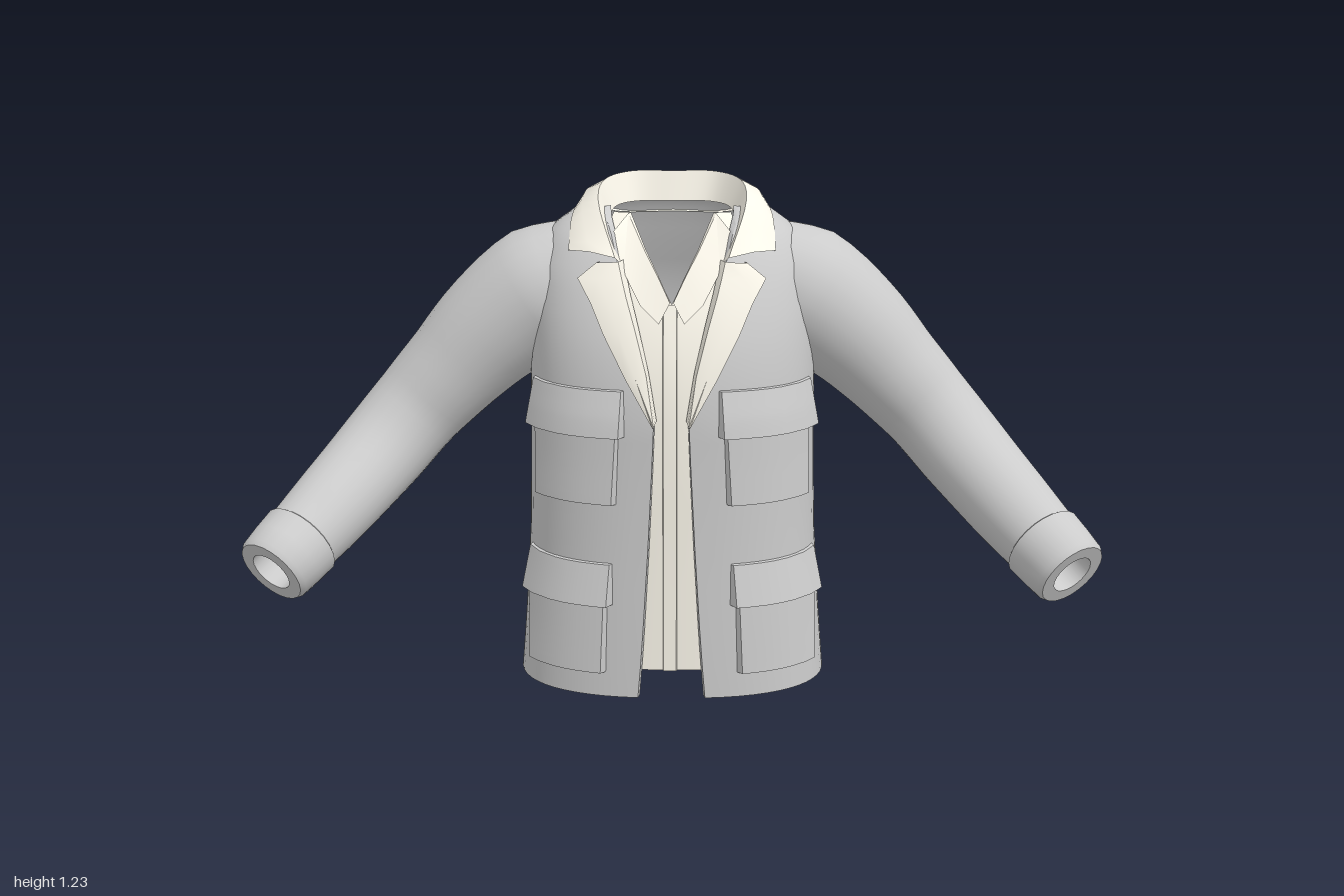
import * as THREE from 'three';
import { toCreasedNormals } from 'three/addons/utils/BufferGeometryUtils.js';

const grey = new THREE.MeshStandardMaterial({ color: 0xcccccc, side: THREE.DoubleSide });
const cream = new THREE.MeshStandardMaterial({ color: 0xfaf6ea, side: THREE.DoubleSide });
const V = (x, y, z) => new THREE.Vector3(x, y, z);
const POWER = 2.5; // squareness of the torso section

// Torso sections: height, half width, front z, back z, half width of the front opening
const TORSO = [
  [0.015, 0.375, 0.19, -0.355, 0.08], [0.2, 0.36, 0.193, -0.35, 0.067],
  [0.4, 0.347, 0.195, -0.346, 0.055], [0.6, 0.342, 0.2, -0.345, 0.045],
  [0.72, 0.34, 0.205, -0.342, 0.04], [0.85, 0.338, 0.19, -0.335, 0.07],
  [0.95, 0.335, 0.158, -0.315, 0.092], [1.05, 0.32, 0.108, -0.275, 0.122],
  [1.12, 0.285, 0.06, -0.25, 0.14], [1.155, 0.235, 0.02, -0.235, 0.155],
  [1.172, 0.195, 0.0, -0.222, 0.16],
];

function section(y) {
  let i = 0;
  while (i < TORSO.length - 2 && y > TORSO[i + 1][0]) i++;
  const a = TORSO[i], b = TORSO[i + 1];
  const k = THREE.MathUtils.clamp((y - a[0]) / (b[0] - a[0]), 0, 1);
  return a.map((v, j) => v + (b[j] - v) * k);
}

// Point on the torso at angle t (0 = left side, PI/2 = front), pushed out by off
function torsoPoint(t, y, off = 0) {
  const [, w, zf, zb] = section(y);
  const f = (v) => Math.sign(v) * Math.abs(v) ** (2 / POWER);
  return V((w + off) * f(Math.cos(t)), y, (zf + zb) / 2 + ((zf - zb) / 2 + off) * f(Math.sin(t)));
}

const frontAngle = (x, y) => Math.acos(Math.min(1, x / section(y)[1]) ** (POWER / 2));

// Point on the front of the torso above a given x
function frontPoint(x, y, off) {
  const p = torsoPoint(frontAngle(Math.abs(x), y), y, off);
  if (x < 0) p.x *= -1;
  return p;
}

// Skin over rows of points
function loft(name, rows, material, closed = false, crease = 0.8) {
  const n = rows[0].length, index = [];
  for (let r = 0; r < rows.length - 1; r++) {
    for (let c = 0; c < (closed ? n : n - 1); c++) {
      const a = r * n + c, b = r * n + ((c + 1) % n);
      index.push(a, b, a + n, b, b + n, a + n);
    }
  }
  const g = new THREE.BufferGeometry().setFromPoints(rows.flat());
  g.setIndex(index);
  const mesh = new THREE.Mesh(toCreasedNormals(g, crease), material);
  mesh.name = name;
  return mesh;
}

// Jacket body: one sheet from front edge to front edge, with a turned-in hem
function body() {
  const row = (y, off) => {
    const t0 = frontAngle(section(y)[4], y), pts = [], n = 56;
    for (let i = -1; i <= n + 1; i++) {
      const k = THREE.MathUtils.clamp(i / n, 0, 1);
      const t = t0 - k * (Math.PI + 2 * t0);
      const p = torsoPoint(t, y, i < 0 || i > n ? -0.02 : off);
      if (y < 0.1) p.y += 0.013 * Math.sin(t) + 0.006 * Math.cos(t) ** 2;
      pts.push(p);
    }
    return pts;
  };
  const rows = [row(0.16, -0.022), row(0.015, -0.018)];
  for (let i = 0; i < TORSO.length - 1; i++) {
    for (let k = 0; k < 2; k++) rows.push(row(THREE.MathUtils.lerp(TORSO[i][0], TORSO[i + 1][0], k / 2), 0));
  }
  rows.push(row(1.172, 0));
  return loft('jacketBody', rows, grey);
}

// Raised patch on the jacket front, used for pockets and flaps
function pad(name, s, x0, x1, y0, y1, offTop, offBottom, taper = 0) {
  const ease = [0, 0.02, 0.15, 0.35, 0.5, 0.65, 0.85, 0.98, 1];
  const rows = ease.map((v, r) => ease.map((u, c) => {
    const edge = r === 0 || c === 0 || r === 8 || c === 8;
    const x = THREE.MathUtils.lerp(x0 + taper * v, x1 - taper * v, u);
    const off = edge ? -0.004 : THREE.MathUtils.lerp(offTop, offBottom, v);
    return frontPoint(s * x, THREE.MathUtils.lerp(y1, y0, v), off);
  }));
  return loft(name, rows, grey, false, 0.6);
}

// Sleeve with a banded, thick-rimmed cuff
function sleeve(s) {
  const path = [ // x, y, z, radius
    [0.18, 1.01, -0.1, 0.13], [0.31, 0.96, -0.1, 0.16], [0.43, 0.87, -0.095, 0.143],
    [0.53, 0.77, -0.085, 0.124], [0.62, 0.675, -0.068, 0.113], [0.7, 0.585, -0.015, 0.11],
    [0.805, 0.48, 0.125, 0.1], [0.917, 0.377, 0.285, 0.083],
  ];
  const curve = new THREE.CatmullRomCurve3(path.map((p) => V(p[0], p[1], p[2])));
  const ring = (u, extra = 0, scale = 1) => {
    const f = u * (path.length - 1), i = Math.min(Math.floor(f), path.length - 2);
    const r = THREE.MathUtils.lerp(path[i][3], path[i + 1][3], f - i) * scale + extra;
    const c = curve.getPoint(u), T = curve.getTangent(u);
    const N = V(0, 0, 1).addScaledVector(T, -T.z).normalize(), B = T.clone().cross(N);
    return Array.from({ length: 24 }, (_, k) => {
      const a = (k / 24) * Math.PI * 2;
      const p = c.clone().addScaledVector(N, r * Math.cos(a)).addScaledVector(B, r * Math.sin(a));
      p.x *= s;
      return p;
    });
  };
  const g = new THREE.Group();
  g.name = s > 0 ? 'leftSleeve' : 'rightSleeve';
  const rows = Array.from({ length: 29 }, (_, i) => ring((i / 28) * 0.98));
  g.add(loft('sleeve', rows, grey, true));
  g.add(loft('cuff', [ring(0.925, -0.004), ring(0.93, 0.007), ring(0.965, 0.008), ring(0.992, 0.007),
    ring(1, 0.001), ring(1, 0, 0.62), ring(0.96, 0, 0.58), ring(0.85, 0, 0.6)], grey, true, 0.6));
  return g;
}

// Lapel: thin folded strip tapering down to the first button
function lapel(s) {
  const rows = [ // inner x, y, outer x, y
    [0.036, 0.71, 0.041, 0.7], [0.055, 0.82, 0.1, 0.81], [0.08, 0.92, 0.15, 0.91],
    [0.1, 0.99, 0.178, 0.975], [0.11, 1.03, 0.208, 1.027], [0.118, 1.065, 0.166, 1.062],
  ].map(([xi, yi, xo, yo]) => [
    frontPoint(s * xi, yi, -0.02), frontPoint(s * xi, yi, 0.012),
    frontPoint((s * (xi + xo)) / 2, (yi + yo) / 2, 0.018),
    frontPoint(s * xo, yo, 0.013), frontPoint(s * xo, yo, -0.003),
  ]);
  return loft(s > 0 ? 'leftLapel' : 'rightLapel', rows, cream, false, 0.6);
}

// Turned-down collar around the back of the neck
function collar() {
  const half = [ // back to front: outer edge, fold, inner edge
    [V(0, 1.135, -0.25), V(0, 1.235, -0.187), V(0, 1.165, -0.168)],
    [V(0.13, 1.135, -0.24), V(0.1, 1.235, -0.18), V(0.09, 1.165, -0.16)],
    [V(0.215, 1.162, -0.15), V(0.16, 1.225, -0.11), V(0.137, 1.16, -0.1)],
    [V(0.235, 1.15, -0.03), V(0.172, 1.188, -0.01), V(0.143, 1.13, -0.005)],
    [V(0.24, 1.082, 0.046), V(0.13, 1.075, 0.108), V(0.115, 1.055, 0.085)],
  ].map(([o, t, i]) => {
    const mid = o.clone().lerp(t, 0.55);
    mid.add(V(mid.x * 0.05, 0.008, mid.z > 0 ? 0.012 : -0.01));
    const under = o.clone().add(V(-o.x * 0.04, -0.006, o.z > 0 ? -0.016 : 0.012));
    return [under, o, mid, t, i];
  });
  const flip = (row) => row.map((p) => V(-p.x, p.y, p.z));
  const all = [...half.slice(1).reverse().map(flip), ...half];
  const curves = half[0].map((_, c) => new THREE.CatmullRomCurve3(all.map((r) => r[c])));
  const rows = Array.from({ length: 41 }, (_, i) => curves.map((c) => c.getPoint(i / 40)));
  return loft('collar', rows, cream);
}

// Shirt front behind the opening, with a V neck
function shirt() {
  const g = new THREE.Group();
  g.name = 'shirt';
  const levels = [0.09, 0.3, 0.5, 0.7, 0.85, 0.97, 1.02, 1.08, 1.13, 1.16];
  for (const s of [1, -1]) {
    const rows = levels.map((y) => {
      const x0 = Math.max(0, (y - 0.97) * 0.58);
      const x1 = y < 0.9 ? 0.27 : THREE.MathUtils.mapLinear(y, 0.9, 1.16, 0.25, 0.155);
      return Array.from({ length: 9 }, (_, i) => frontPoint(s * THREE.MathUtils.lerp(x0, x1, i / 8), y, -0.026));
    });
    g.add(loft(s > 0 ? 'leftShirtFront' : 'rightShirtFront', rows, cream));
    // Shirt collar leaf beside the V
    const leaf = [[0.004, 0.975, 0.03, 0.93], [0.03, 1.025, 0.075, 0.97], [0.065, 1.085, 0.115, 1.04], [0.108, 1.16, 0.145, 1.12]]
      .map(([xi, yi, xo, yo]) => [frontPoint(s * xi, yi, -0.024), frontPoint(s * xi, yi, -0.012), frontPoint(s * xo, yo, -0.012)]);
    g.add(loft('shirtCollar', leaf, cream));
  }
  const placket = levels.slice(0, 6).map((y) => [
    frontPoint(-0.022, y, -0.026), frontPoint(-0.02, y, -0.019), frontPoint(0.012, y, -0.019), frontPoint(0.014, y, -0.026)]);
  g.add(loft('placket', placket, cream, false, 0.4));
  return g;
}

export function createModel() {
  const model = new THREE.Group();
  model.name = 'jacket';
  model.add(body(), collar(), shirt());
  for (const s of [1, -1]) {
    model.add(sleeve(s), lapel(s));
    const pockets = new THREE.Group();
    pockets.name = s > 0 ? 'leftPockets' : 'rightPockets';
    pockets.add(
      pad('chestPocket', s, 0.12, 0.315, 0.51, 0.7, 0.012, 0.022, 0.008),
      pad('chestFlap', s, 0.108, 0.322, 0.675, 0.785, 0.008, 0.03),
      pad('hipPocket', s, 0.15, 0.335, 0.09, 0.29, 0.014, 0.022, 0.006),
      pad('hipFlap', s, 0.138, 0.338, 0.262, 0.365, 0.008, 0.03),
    );
    model.add(pockets);
  }
  return model;
}
